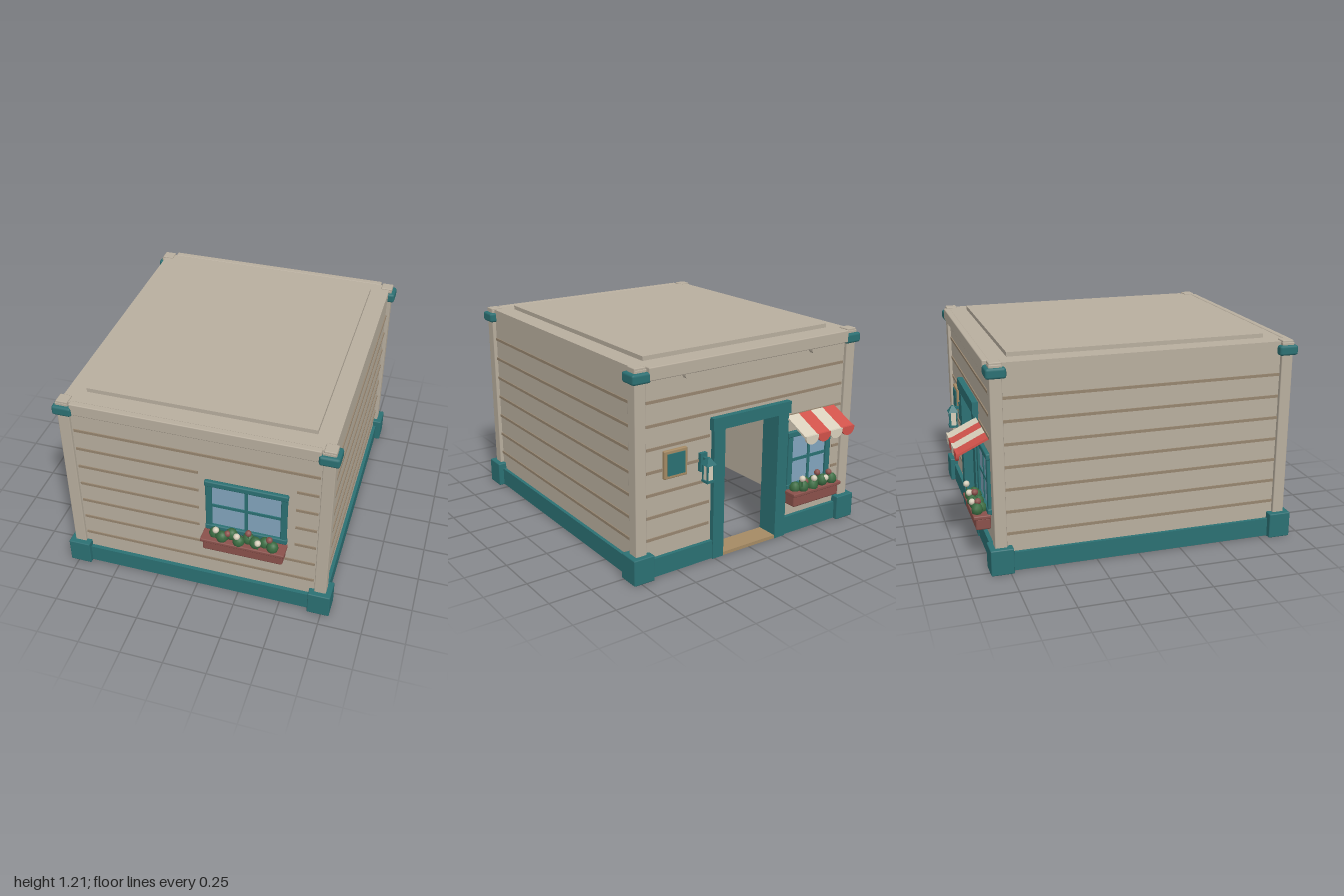
import * as THREE from 'three';
import { RoundedBoxGeometry } from 'three/addons/geometries/RoundedBoxGeometry.js';

const mat = (name, color) => {
  const m = new THREE.MeshStandardMaterial({ color });
  m.name = name;
  return m;
};
const M = {
  wall: mat('stone grey', 0xb8ae9e),
  groove: mat('plank brown', 0x96856f),
  teal: mat('teal', 0x2b7073),
  glass: mat('window blue', 0x82a5bd),
  clay: mat('terracotta', 0x8a514b),
  leaf: mat('leaf green', 0x3a6b41),
  cream: mat('cream', 0xd8cfbb),
  red: mat('awning red', 0xd0524a),
  tan: mat('tan wood', 0xa58a64),
};

function add(parent, name, geo, material, x = 0, y = 0, z = 0) {
  const mesh = new THREE.Mesh(geo, material);
  mesh.name = name;
  mesh.position.set(x, y, z);
  parent.add(mesh);
  return mesh;
}
// Box given by its limits; a radius rounds the edges
function box(parent, name, material, [x0, x1], [y0, y1], [z0, z1], r = 0) {
  const s = [x1 - x0, y1 - y0, z1 - z0];
  const geo = r ? new RoundedBoxGeometry(...s, 1, r) : new THREE.BoxGeometry(...s);
  return add(parent, name, geo, material, (x0 + x1) / 2, (y0 + y1) / 2, (z0 + z1) / 2);
}
function group(parent, name, x = 0, y = 0, z = 0, turn = 0) {
  const g = new THREE.Group();
  g.name = name;
  g.position.set(x, y, z);
  g.rotation.y = turn;
  parent.add(g);
  return g;
}

const MID = 0.035, FRONT = 0.88, BACK = -0.81, SIDE = 0.745, T = 0.1;

// Four-pane window facing +z, origin at the bottom centre on the wall
function makeWindow(parent, name, x, y, z, turn, w, h) {
  const g = group(parent, name, x, y, z, turn), a = w / 2, b = 0.036;
  box(g, 'glass', M.glass, [-a + 0.02, a - 0.02], [0.02, h - 0.02], [0, 0.008]);
  for (const s of [-1, 1]) {
    const c = s * (a - b / 2 - 0.004);
    box(g, 'frameSide', M.teal, [c - b / 2, c + b / 2], [0, h], [0, 0.022], 0.006);
  }
  box(g, 'frameTop', M.teal, [-a, a], [h - b, h], [0, 0.026], 0.007);
  box(g, 'frameBottom', M.teal, [-a, a], [0, b], [0, 0.026], 0.007);
  box(g, 'mullion', M.teal, [-0.009, 0.009], [b, h - b], [0, 0.014]);
  box(g, 'crossbar', M.teal, [-a + b, a - b], [h / 2 - 0.009, h / 2 + 0.009], [0, 0.014]);
}

// Planter facing +z, origin at the bottom centre on the wall
function makePlanter(parent, name, x, y, z, turn, w) {
  const g = group(parent, name, x, y, z, turn), a = w / 2;
  box(g, 'trough', M.clay, [-a + 0.01, a - 0.01], [0, 0.07], [0, 0.085], 0.01);
  box(g, 'rim', M.clay, [-a, a], [0.066, 0.088], [0, 0.098], 0.006);
  const leaf = new THREE.IcosahedronGeometry(0.036, 1);
  const bloom = new THREE.IcosahedronGeometry(0.019, 1);
  const stem = new THREE.CylinderGeometry(0.004, 0.004, 0.05, 5);
  for (let i = 0; i < 8; i++) {
    const u = (i / 7 - 0.5) * w * 0.7;
    const m = add(g, 'leaves', leaf, M.leaf, u, 0.1 + (i % 3) * 0.008, i % 2 ? 0.068 : 0.04);
    m.scale.set(0.95, 1.05, 0.9);
  }
  const heights = [0.168, 0.132, 0.15, 0.168, 0.132, 0.15];
  heights.forEach((h, i) => {
    const u = (i / 5 - 0.5) * w * 0.62, d = i % 2 ? 0.06 : 0.085;
    add(g, 'stem', stem, M.leaf, u, h - 0.025, d);
    add(g, 'flower', bloom, i % 2 ? M.clay : M.cream, u, h, d);
  });
}

function makeAwning(parent) {
  const g = group(parent, 'awning', -0.445, 0, 0);
  const n = 4, w = 0.37 / n, r = w / 2;
  const scallop = new THREE.Shape();
  scallop.moveTo(-r, 0.012).lineTo(-r, 0).absellipse(0, 0, r, 0.04, Math.PI, 2 * Math.PI, false);
  scallop.lineTo(r, 0.012);
  const flap = new THREE.ExtrudeGeometry(scallop, { depth: 0.014, bevelEnabled: false, curveSegments: 8 });
  for (let i = 0; i < n; i++) {
    const x = (i - (n - 1) / 2) * w, m = i % 2 ? M.cream : M.red;
    const cloth = add(g, 'stripe', new THREE.BoxGeometry(w, 0.012, 0.18), m, x, 0.697, -0.902);
    cloth.rotation.x = -0.45;
    const edge = add(g, 'scallop', flap, m, x, 0.653, -0.996);
    edge.name = 'scallop';
  }
}

function makeLantern(parent) {
  const g = group(parent, 'lantern', 0.33, 0, -0.873);
  box(g, 'backPlate', M.teal, [-0.022, 0.022], [0.545, 0.65], [0.04, 0.064]);
  box(g, 'arm', M.teal, [-0.008, 0.008], [0.615, 0.63], [0, 0.05]);
  box(g, 'lampGlass', M.cream, [-0.019, 0.019], [0.51, 0.6], [-0.019, 0.019]);
  for (const x of [-0.02, 0.02]) for (const z of [-0.02, 0.02])
    box(g, 'lampBar', M.teal, [x - 0.004, x + 0.004], [0.505, 0.605], [z - 0.004, z + 0.004]);
  box(g, 'lampBase', M.teal, [-0.027, 0.027], [0.498, 0.511], [-0.027, 0.027]);
  const roof = add(g, 'lampRoof', new THREE.CylinderGeometry(0.01, 0.045, 0.04, 4, 1), M.teal, 0, 0.618, 0);
  roof.rotation.y = Math.PI / 4;
  roof.geometry = roof.geometry.toNonIndexed();
  roof.geometry.computeVertexNormals();
}

export function createModel() {
  const root = new THREE.Group();
  root.name = 'smallHouse';

  // Walls, open underneath
  const walls = group(root, 'walls');
  box(walls, 'frontWall', M.wall, [-SIDE, SIDE], [0, 1.13], [FRONT - T, FRONT]);
  for (const s of [-1, 1]) {
    const xs = s < 0 ? [-SIDE, -SIDE + T] : [SIDE - T, SIDE];
    box(walls, 'sideWall', M.wall, xs, [0, 1.13], [BACK + T, FRONT - T]);
  }
  const outline = new THREE.Shape();
  [[-SIDE, 0], [-0.2, 0], [-0.2, 0.78], [0.2, 0.78], [0.2, 0], [SIDE, 0], [SIDE, 1.13], [-SIDE, 1.13]]
    .forEach(([x, y], i) => (i ? outline.lineTo(x, y) : outline.moveTo(x, y)));
  add(walls, 'backWall', new THREE.ExtrudeGeometry(outline, { depth: T, bevelEnabled: false }), M.wall, 0, 0, BACK);

  // Roof and cornices
  const roof = group(root, 'roof');
  box(roof, 'roofSlab', M.wall, [-0.75, 0.75], [1.11, 1.183], [BACK - 0.005, FRONT + 0.005]);
  box(roof, 'roofPanel', M.wall, [-0.64, 0.64], [1.18, 1.207], [-0.71, 0.77]);
  box(roof, 'frontCornice', M.wall, [-0.69, 0.69], [1.115, 1.187], [0.87, 0.908], 0.006);
  box(roof, 'backCornice', M.wall, [-0.69, 0.69], [1.115, 1.187], [-0.85, -0.81], 0.006);

  // Corner posts, blocks and caps
  for (const sx of [-1, 1]) for (const sz of [-1, 1]) {
    const c = group(root, 'corner', sx * 0.733, 0, MID + sz * 0.83);
    box(c, 'post', M.wall, [-0.034, 0.034], [0.1, 1.19], [-0.034, 0.034], 0.005);
    box(c, 'baseBlock', M.teal, [-0.065, 0.065], [0, 0.15], [-0.065, 0.065], 0.006);
    box(c, 'cap', M.teal, [-0.056, 0.056], [1.105, 1.163], [-0.056, 0.056], 0.014);
    box(c, 'capTop', M.wall, [-0.04, 0.03], [1.16, 1.178], [-0.036, 0.036], 0.004);
  }

  // Base trim
  const trim = group(root, 'baseTrim');
  box(trim, 'frontTrim', M.teal, [-0.7, 0.7], [0.004, 0.112], [FRONT - 0.01, 0.903]);
  for (const s of [-1, 1]) {
    box(trim, 'sideTrim', M.teal, s < 0 ? [-0.765, -0.735] : [0.735, 0.765], [0.004, 0.112], [-0.76, 0.83]);
    box(trim, 'backTrim', M.teal, s < 0 ? [-0.7, -0.22] : [0.22, 0.7], [0.004, 0.112], [-0.833, BACK + 0.01]);
  }

  // Plank lines, broken at the openings
  const planks = group(root, 'plankLines');
  for (let i = 0; i < 7; i++) {
    const y = 0.22 + i * 0.1285, ys = [y - 0.008, y + 0.008];
    const frontSpans = i > 1 && i < 6 ? [[-0.69, 0.02], [0.57, 0.69]] : [[-0.69, 0.69]];
    const backSpans = i > 4 ? [[-0.69, 0.69]] : [[0.28, 0.69], i === 4 ? [-0.69, -0.29] : [-0.69, -0.64]];
    frontSpans.forEach(s => box(planks, 'frontPlank', M.groove, s, ys, [FRONT - 0.01, FRONT + 0.006]));
    backSpans.forEach(s => box(planks, 'backPlank', M.groove, s, ys, [BACK - 0.006, BACK + 0.01]));
    for (const s of [-1, 1])
      box(planks, 'sidePlank', M.groove, s < 0 ? [-0.751, -0.74] : [0.74, 0.751], ys, [-0.76, 0.83]);
  }

  // Doorway
  const door = group(root, 'doorway');
  for (const s of [-1, 1])
    box(door, 'doorJamb', M.teal, s < 0 ? [-0.265, -0.19] : [0.19, 0.265], [0, 0.78], [-0.838, -0.705]);
  box(door, 'doorHeader', M.teal, [-0.275, 0.275], [0.765, 0.835], [-0.845, -0.705]);
  box(door, 'doorSill', M.tan, [-0.19, 0.19], [0, 0.02], [-0.835, -0.705]);

  // Windows with planters
  makeWindow(root, 'frontWindow', 0.295, 0.475, FRONT, 0, 0.47, 0.355);
  makePlanter(root, 'frontPlanter', 0.295, 0.385, FRONT + 0.01, 0, 0.48);
  makeWindow(root, 'backWindow', -0.445, 0.28, BACK, Math.PI, 0.34, 0.36);
  makePlanter(root, 'backPlanter', -0.445, 0.2, BACK - 0.01, Math.PI, 0.37);

  makeAwning(root);
  makeLantern(root);

  // Wall plaque
  const plaque = group(root, 'plaque', 0.51, 0.63, BACK);
  box(plaque, 'plaqueFrame', M.tan, [-0.075, 0.075], [-0.08, 0.08], [-0.018, 0.005], 0.006);
  box(plaque, 'plaquePanel', M.teal, [-0.056, 0.056], [-0.061, 0.061], [-0.023, -0.01]);

  // Small knobs under the back cornice
  for (const x of [-0.44, 0.44]) {
    const knob = add(root, 'knob', new THREE.CylinderGeometry(0.02, 0.02, 0.03, 10), M.wall, x, 1.105, BACK - 0.012);
    knob.rotation.x = Math.PI / 2;
  }
  return root;
}
